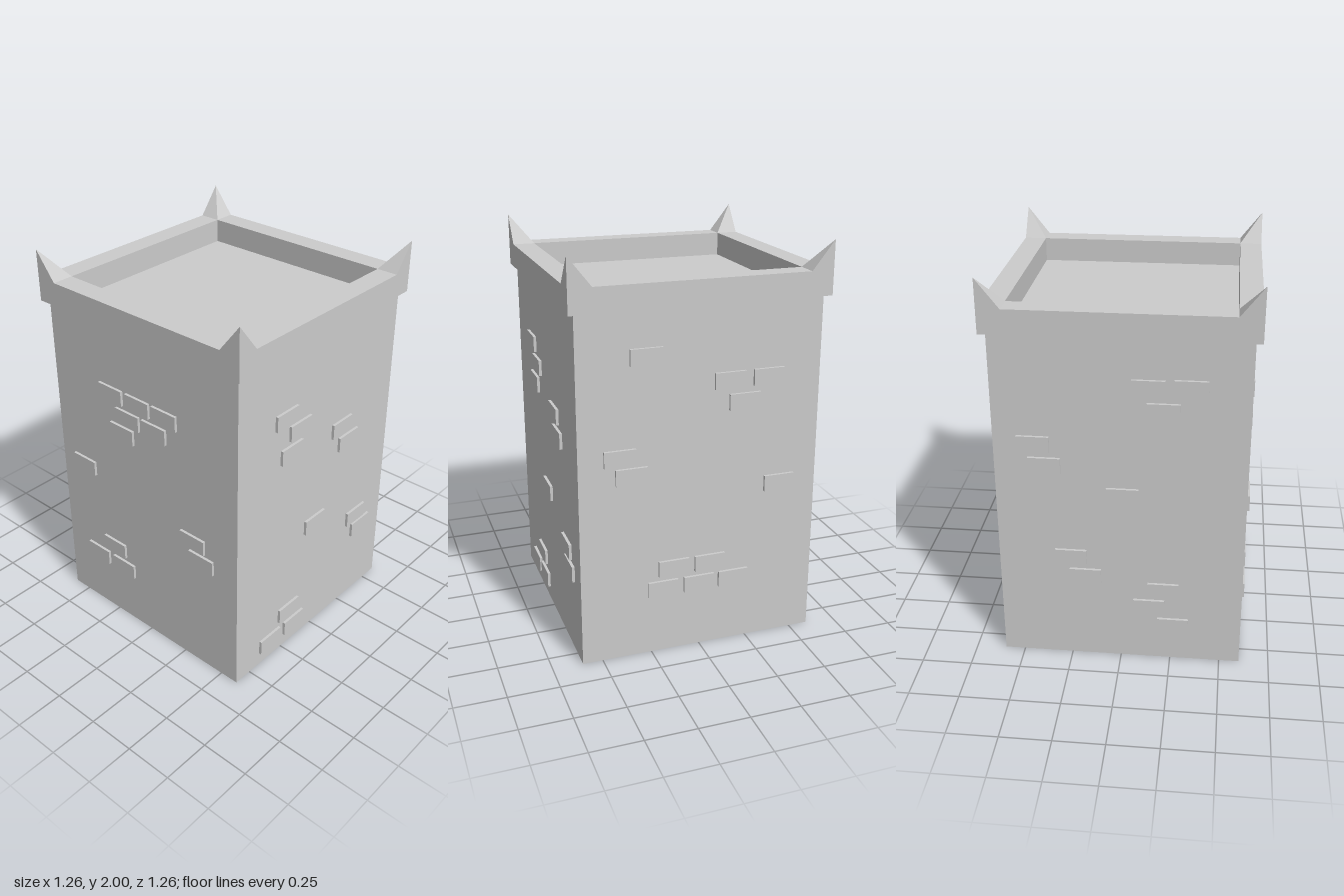
import * as THREE from 'three';
import { ConvexGeometry } from 'three/addons/geometries/ConvexGeometry.js';

const HALF = 0.6, WALL_TOP = 1.74;              // tower body
const RIM = 0.63, RIM_IN = 0.52, RIM_TOP = 1.86; // parapet
const PEAK = 2.0;                                // corner horns
const BRICK_W = 0.155, BRICK_H = 0.08, BRICK_OUT = 0.014;

// Brick centres per wall: [across, height], across runs to the right when facing the wall
const WALLS = [
  { name: 'frontBricks', turn: 0, bricks: [
    [-0.2, 1.374], [-0.02, 1.374], [0.155, 1.374], [-0.09, 1.273], [0.085, 1.273], [-0.135, 1.178],
    [-0.43, 0.875], [0.32, 0.748], [0.375, 0.653], [-0.24, 0.435], [-0.37, 0.33], [-0.18, 0.33]] },
  { name: 'leftBricks', turn: Math.PI / 2, bricks: [
    [-0.265, 1.403], [-0.16, 1.305], [-0.22, 1.2], [0.18, 1.157], [0.24, 1.055], [-0.01, 0.68],
    [0.36, 0.525], [0.41, 0.43], [-0.2, 0.223], [-0.345, 0.11], [-0.155, 0.11]] },
  { name: 'backBricks', turn: Math.PI, bricks: [
    [-0.27, 1.523], [0.14, 1.373], [0.335, 1.373], [0.215, 1.263], [-0.4, 1.05], [-0.345, 0.955],
    [0.405, 0.827], [-0.135, 0.45], [0.05, 0.45], [-0.19, 0.345], [-0.005, 0.345], [0.175, 0.345]] },
  { name: 'rightBricks', turn: -Math.PI / 2, bricks: [
    [0.13, 1.5], [0.325, 1.505], [0.2, 1.387], [-0.41, 1.195], [-0.36, 1.085], [0.01, 0.937],
    [-0.245, 0.583], [-0.175, 0.475], [0.21, 0.41], [0.14, 0.31], [0.26, 0.203]] },
];

function square(path, h) {
  path.moveTo(-h, -h);
  path.lineTo(h, -h);
  path.lineTo(h, h);
  path.lineTo(-h, h);
  path.closePath();
  return path;
}

export function createModel() {
  const group = new THREE.Group();
  const material = new THREE.MeshStandardMaterial({ color: 0xcccccc, flatShading: true });
  const add = (parent, name, geometry) => {
    const mesh = new THREE.Mesh(geometry, material);
    mesh.name = name;
    parent.add(mesh);
    return mesh;
  };

  // Square tower body; its top is the floor inside the parapet
  add(group, 'towerBody', new THREE.BoxGeometry(HALF * 2, WALL_TOP, HALF * 2)).position.y = WALL_TOP / 2;

  // Parapet: an overhanging square ring
  const ring = square(new THREE.Shape(), RIM);
  ring.holes.push(square(new THREE.Path(), RIM_IN));
  const rimGeometry = new THREE.ExtrudeGeometry(ring, { depth: RIM_TOP - WALL_TOP, bevelEnabled: false });
  rimGeometry.rotateX(-Math.PI / 2);
  add(group, 'parapet', rimGeometry).position.y = WALL_TOP;

  // Corner horns: pyramids whose peak stands over the outer corner
  const hornGeometry = new ConvexGeometry([
    new THREE.Vector3(RIM_IN, RIM_TOP, RIM_IN), new THREE.Vector3(RIM, RIM_TOP, RIM_IN),
    new THREE.Vector3(RIM, RIM_TOP, RIM), new THREE.Vector3(RIM_IN, RIM_TOP, RIM),
    new THREE.Vector3(RIM, PEAK, RIM),
  ]);
  for (let i = 0; i < 4; i++) add(group, 'cornerHorn', hornGeometry).rotation.y = i * Math.PI / 2;

  // Raised bricks on each wall
  const brickGeometry = new THREE.BoxGeometry(BRICK_W, BRICK_H, BRICK_OUT * 2);
  for (const { name, turn, bricks } of WALLS) {
    const wall = new THREE.Group();
    wall.name = name;
    wall.rotation.y = turn;
    for (const [x, y] of bricks) add(wall, 'brick', brickGeometry).position.set(x, y, HALF);
    group.add(wall);
  }
  return group;
}
